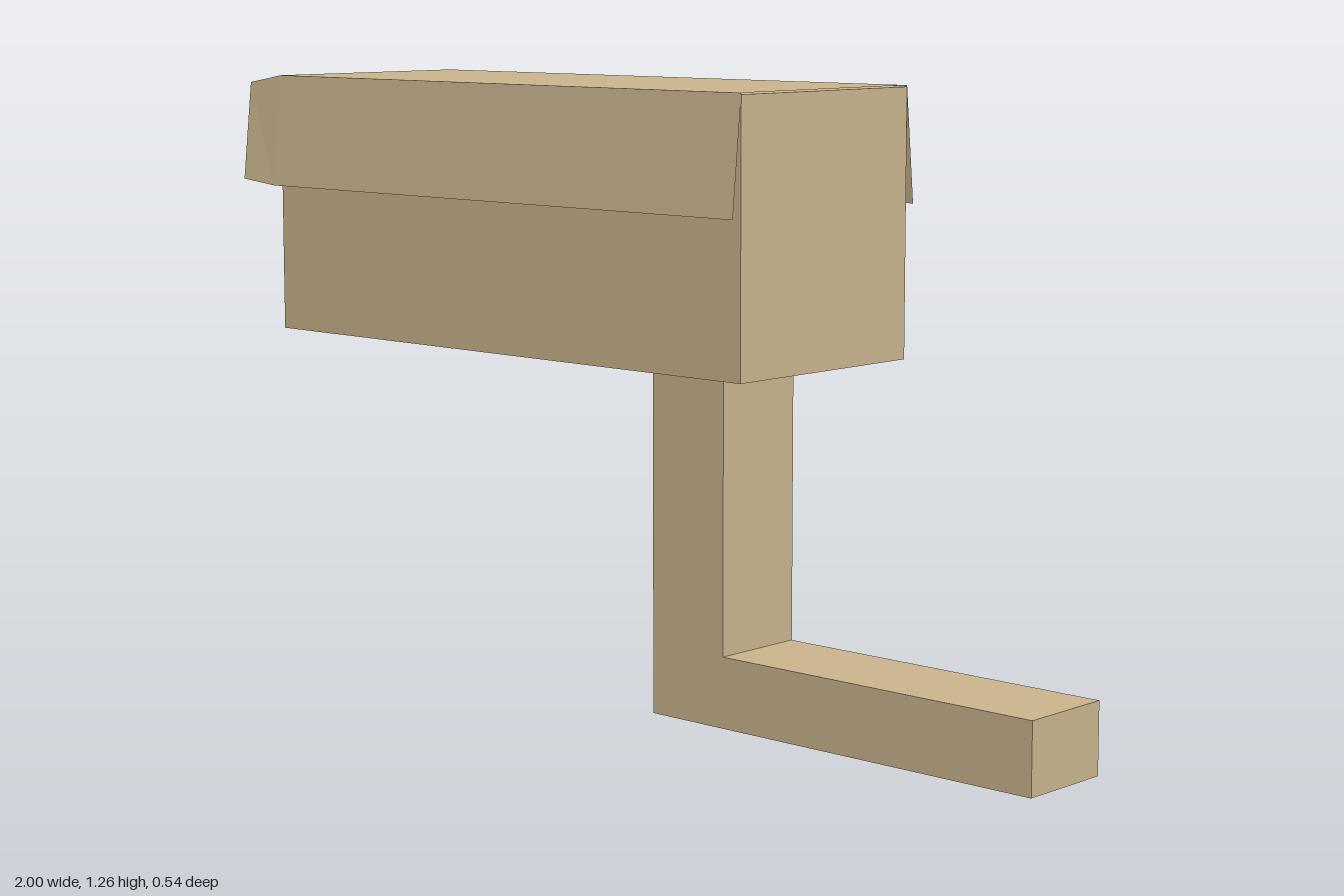
import * as THREE from 'three';

// Flat-shaded geometry from a list of four-cornered faces
function quads(faces) {
  const pos = [];
  for (const [a, b, c, d] of faces) pos.push(...a, ...b, ...c, ...a, ...c, ...d);
  const g = new THREE.BufferGeometry();
  g.setAttribute('position', new THREE.Float32BufferAttribute(pos, 3));
  g.computeVertexNormals();
  return g;
}

// Faces joining two sections, point by point
function loft(a, b, closed = true) {
  const faces = [];
  const n = a.length;
  for (let i = 0; i < (closed ? n : n - 1); i++) {
    const j = (i + 1) % n;
    faces.push([a[i], a[j], b[j], b[i]]);
  }
  return faces;
}

// Upright rectangle across the body, and level rectangle below it
const ring = (x, y0, y1, z) => [[x, y0, z], [x, y0, -z], [x, y1, -z], [x, y1, z]];
const level = (y, x0, x1, z) => [[x0, y, z], [x1, y, z], [x1, y, -z], [x0, y, -z]];

export function createModel() {
  const model = new THREE.Group();
  const tan = new THREE.MeshStandardMaterial({ color: 0xcbb68e, side: THREE.DoubleSide });
  tan.name = 'tan';
  const dark = new THREE.MeshStandardMaterial({ color: 0x4a4650 });
  dark.name = 'dark glass';

  const add = (name, geometry, material) => {
    const mesh = new THREE.Mesh(geometry, material);
    mesh.name = name;
    model.add(mesh);
  };

  // Housing with a tapering recess at its open end
  const opening = ring(-0.9, 0.72, 1.262, 0.247);
  const back = ring(0.417, 0.72, 1.262, 0.247);
  const lens = ring(-0.755, 0.795, 1.187, 0.227);
  add('housing', quads([...loft(opening, back), back, ...loft(lens, opening)]), tan);
  add('lensPanel', quads([[...lens].reverse()]), dark);

  // Shallow underside narrowing to the post
  add('underside', quads(loft(level(0.695, 0.06, 0.248, 0.105), level(0.72, -0.9, 0.417, 0.247))), tan);

  // Thin hood with flared sides and a drooping visor
  const hoodSection = (x, top, bottom) => [
    [x, bottom, 0.27], [x, top, 0.247], [x, top, -0.247], [x, bottom, -0.27],
  ];
  const tip = hoodSection(-1, 1.248, 1.04);
  const bend = hoodSection(-0.9, 1.265, 1.03);
  const rear = hoodSection(0.417, 1.265, 1.03);
  add('hood', quads([...loft(bend, tip, false), ...loft(rear, bend, false)]), tan);

  // L-shaped bracket: post and wall arm
  const bracket = new THREE.Shape([
    [0.06, 0], [1, 0], [1, 0.145], [0.248, 0.145], [0.248, 0.695], [0.06, 0.695],
  ].map(([x, y]) => new THREE.Vector2(x, y)));
  const bracketGeometry = new THREE.ExtrudeGeometry(bracket, { depth: 0.21, bevelEnabled: false });
  bracketGeometry.translate(0, 0, -0.105);
  add('bracket', bracketGeometry, tan);

  return model;
}
